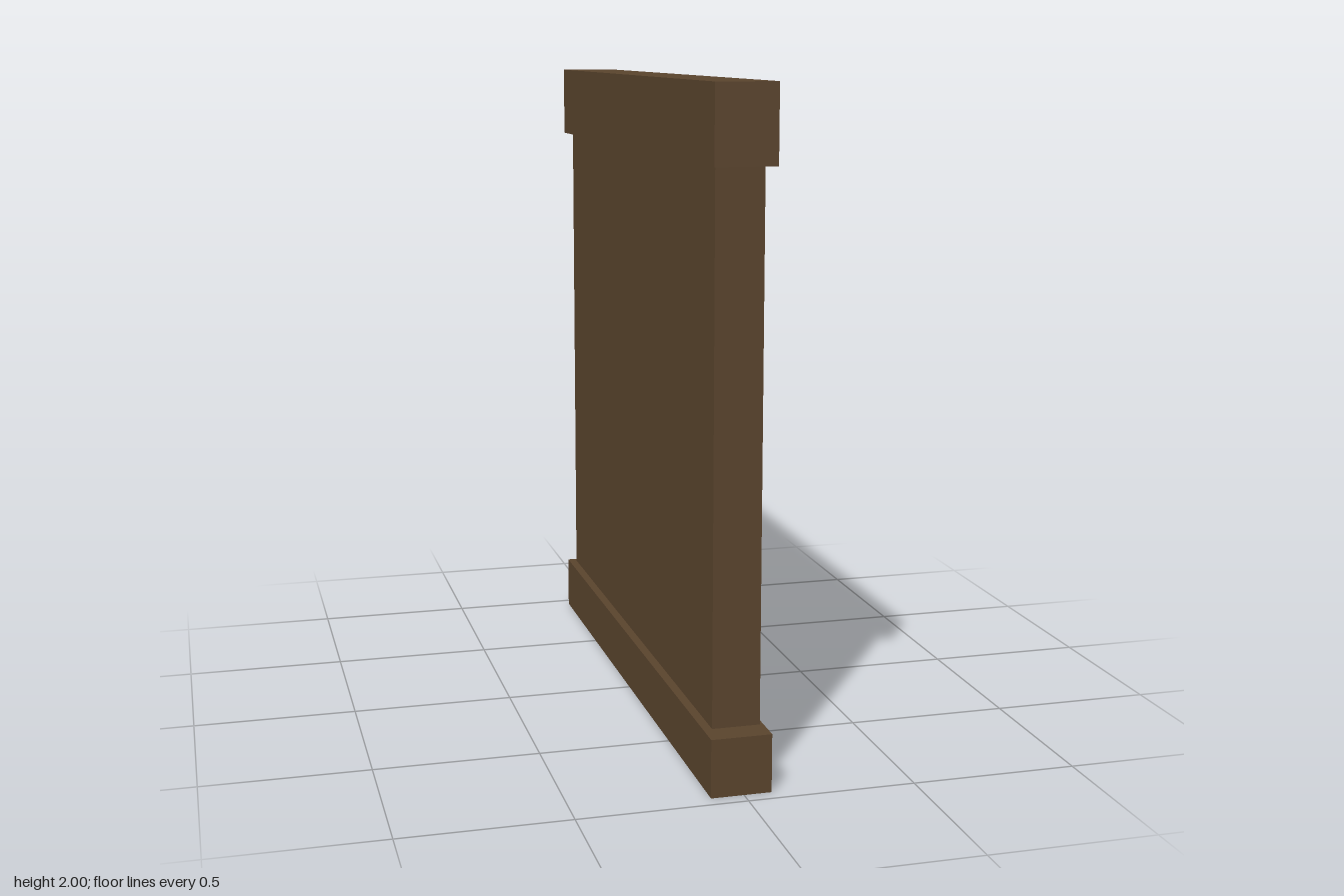
import * as THREE from 'three';

export function createModel() {
  const model = new THREE.Group();
  model.name = 'woodenPanel';
  const darkWood = new THREE.MeshStandardMaterial({ color: 0x5a442d });
  darkWood.name = 'darkWood';

  // Box given by its lower and upper corners in x and y, mirrored in z
  const slab = (name, x0, x1, y0, y1, halfZ) => {
    const mesh = new THREE.Mesh(new THREE.BoxGeometry(x1 - x0, y1 - y0, halfZ * 2), darkWood);
    mesh.name = name;
    mesh.position.set((x0 + x1) / 2, (y0 + y1) / 2, 0);
    model.add(mesh);
  };

  // Rails above and below; the panel hangs just clear of the lower rail
  slab('bottomRail', -0.098, 0.082, 0, 0.174, 0.957);
  slab('panel', -0.079, 0.063, 0.184, 1.775, 0.9);
  slab('topRail', -0.098, 0.082, 1.775, 2, 0.957);

  // Two small round pegs under the top rail
  const pegShape = new THREE.CylinderGeometry(0.024, 0.024, 0.012, 16).rotateZ(Math.PI / 2);
  for (const side of [-1, 1]) {
    const peg = new THREE.Mesh(pegShape, darkWood);
    peg.name = side > 0 ? 'frontPeg' : 'backPeg';
    peg.position.set(0.09, 1.754, side * 0.728);
    model.add(peg);
  }
  return model;
}
